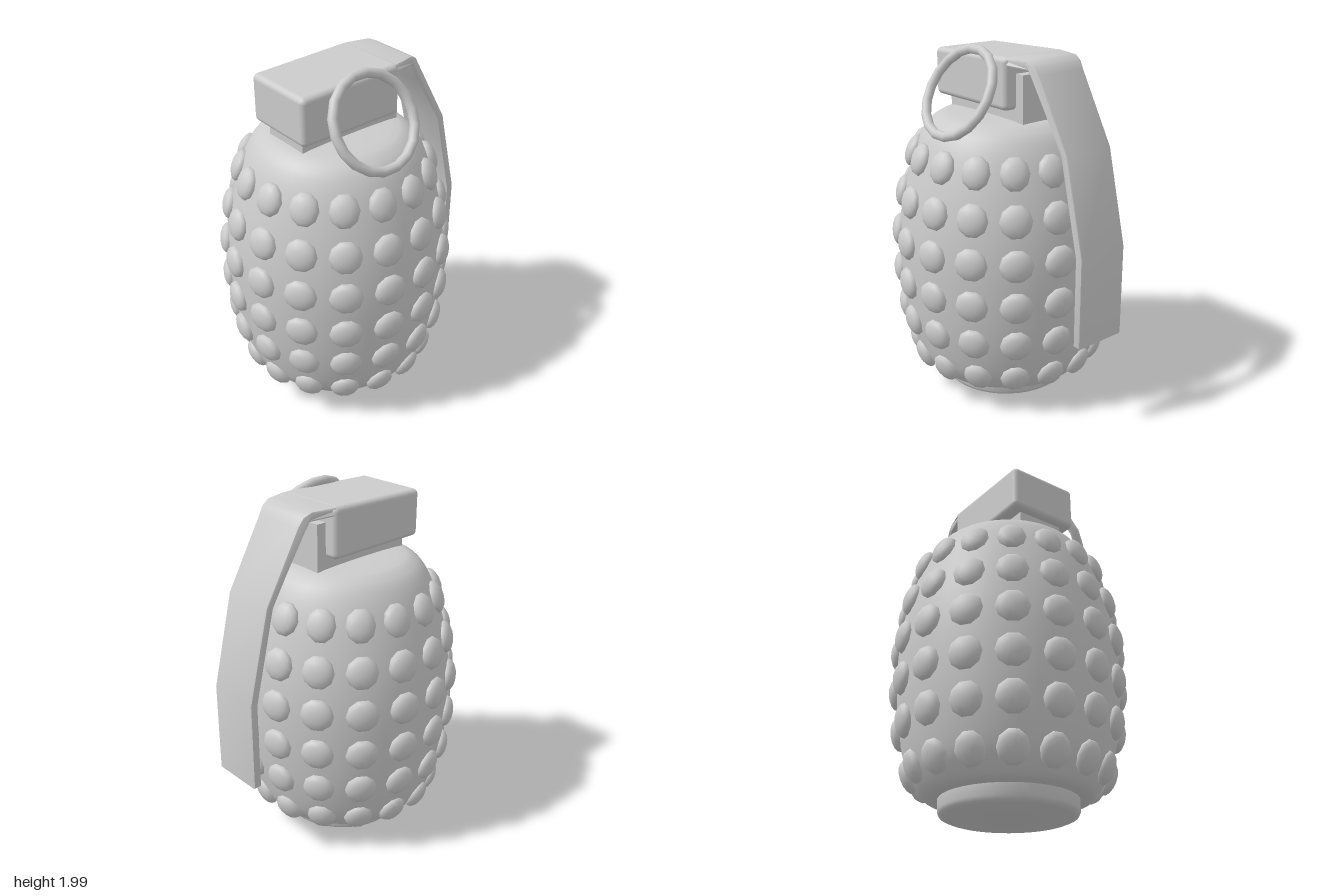
import * as THREE from 'three';
import { toCreasedNormals } from 'three/addons/utils/BufferGeometryUtils.js';
import { RoundedBoxGeometry } from 'three/addons/geometries/RoundedBoxGeometry.js';

const material = new THREE.MeshStandardMaterial({ color: 0xcccccc });
const AXIS_Z = 0.072; // the body sits slightly forward of the lever

function add(parent, name, geometry, x = 0, y = 0, z = 0) {
  const mesh = new THREE.Mesh(geometry, material);
  mesh.name = name;
  mesh.position.set(x, y, z);
  parent.add(mesh);
  return mesh;
}

function lathe(points, segments, crease) {
  const g = new THREE.LatheGeometry(points.map(([r, y]) => new THREE.Vector2(r, y)), segments);
  return toCreasedNormals(g, crease);
}

// Egg-shaped shell: spline through the side, flat underneath
const side = new THREE.SplineCurve([
  [0.415, 0.095], [0.455, 0.11], [0.5, 0.165], [0.545, 0.25], [0.592, 0.455], [0.614, 0.69], [0.614, 0.93],
  [0.582, 1.165], [0.515, 1.4], [0.45, 1.535], [0.385, 1.595], [0.3, 1.617], [0, 1.625],
].map(([r, y]) => new THREE.Vector2(r, y)));

function buildBody(group) {
  const profile = side.getPoints(36).map(p => [Math.max(p.x, 0), p.y]);
  add(group, 'body', lathe([[0.3, 0.095], ...profile], 48, 0.8), 0, 0, AXIS_Z);
  add(group, 'base', lathe([[0, 0], [0.34, 0.004], [0.365, 0.014], [0.375, 0.035], [0.375, 0.11]], 40, 0.9),
    0, 0, AXIS_Z);
}

// Rows of flattened knobs: height, shell radius, upward tilt, half width
const rows = [
  [0.22, 0.53, -0.38, 0.082], [0.455, 0.592, -0.14, 0.089], [0.69, 0.614, -0.04, 0.092],
  [0.93, 0.614, 0.06, 0.092], [1.165, 0.582, 0.2, 0.088], [1.4, 0.515, 0.36, 0.08],
];

function buildKnobs(group) {
  const knobs = new THREE.Group();
  knobs.name = 'knobs';
  knobs.position.z = AXIS_Z;
  group.add(knobs);
  const dome = new THREE.SphereGeometry(1, 10, 8).rotateX(Math.PI / 2); // pole faces outward
  const count = 16;
  for (const [y, r, tilt, size] of rows) {
    for (let i = 0; i < count; i++) {
      const a = (i + 0.5) * 2 * Math.PI / count;
      const knob = add(knobs, 'knob', dome, r * Math.sin(a), y, r * Math.cos(a));
      knob.rotation.set(-tilt, a, 0, 'YXZ');
      knob.scale.set(size, 0.092, 0.045);
    }
  }
}

// Lever: side outline extruded across, then narrowed towards the back
function buildLever(group) {
  const outline = [
    [-0.1, 1.957], [-0.18, 1.957], [-0.305, 1.955], [-0.352, 1.932], [-0.38, 1.89], [-0.595, 1.52],
    [-0.722, 1.01], [-0.725, 0.5], [-0.678, 0.5], [-0.677, 1.0], [-0.552, 1.51],
    [-0.38, 1.79], [-0.315, 1.903], [-0.18, 1.91], [-0.1, 1.91],
  ];
  const shape = new THREE.Shape(outline.map(([z, y]) => new THREE.Vector2(z, y)));
  const bevel = 0.01;
  const g = new THREE.ExtrudeGeometry(shape, {
    depth: 2 * (0.155 - bevel), bevelThickness: bevel, bevelSize: bevel, bevelOffset: -bevel, bevelSegments: 2,
  });
  g.translate(0, 0, bevel - 0.155).rotateY(-Math.PI / 2);
  const pos = g.attributes.position;
  for (let i = 0; i < pos.count; i++) {
    const t = THREE.MathUtils.clamp((pos.getZ(i) + 0.38) / 0.2, 0, 1);
    pos.setX(i, pos.getX(i) * (1 + 0.3 * t));
  }
  add(group, 'lever', toCreasedNormals(g, 0.6));
}

export function createModel() {
  const group = new THREE.Group();
  buildBody(group);
  buildKnobs(group);

  // Neck block, its rear end showing under the lever
  add(group, 'neck', new THREE.BoxGeometry(0.28, 0.29, 0.635), 0, 1.725, 0.0725);

  // Head with rounded edges, its top sloping down slightly to the front
  const head = new RoundedBoxGeometry(0.425, 0.28, 0.625, 3, 0.03);
  const pos = head.attributes.position;
  for (let i = 0; i < pos.count; i++) {
    if (pos.getY(i) > 0) pos.setY(i, pos.getY(i) - 0.018 * Math.max(0, pos.getZ(i) / 0.31));
  }
  add(group, 'head', head, 0, 1.819, 0.125);

  buildLever(group);

  // Pull ring leaning against the left side of the head
  const ring = new THREE.TorusGeometry(0.25, 0.027, 10, 18).rotateY(Math.PI / 2).rotateZ(Math.PI / 6);
  add(group, 'pullRing', ring, 0.32, 1.755, AXIS_Z);
  return group;
}
